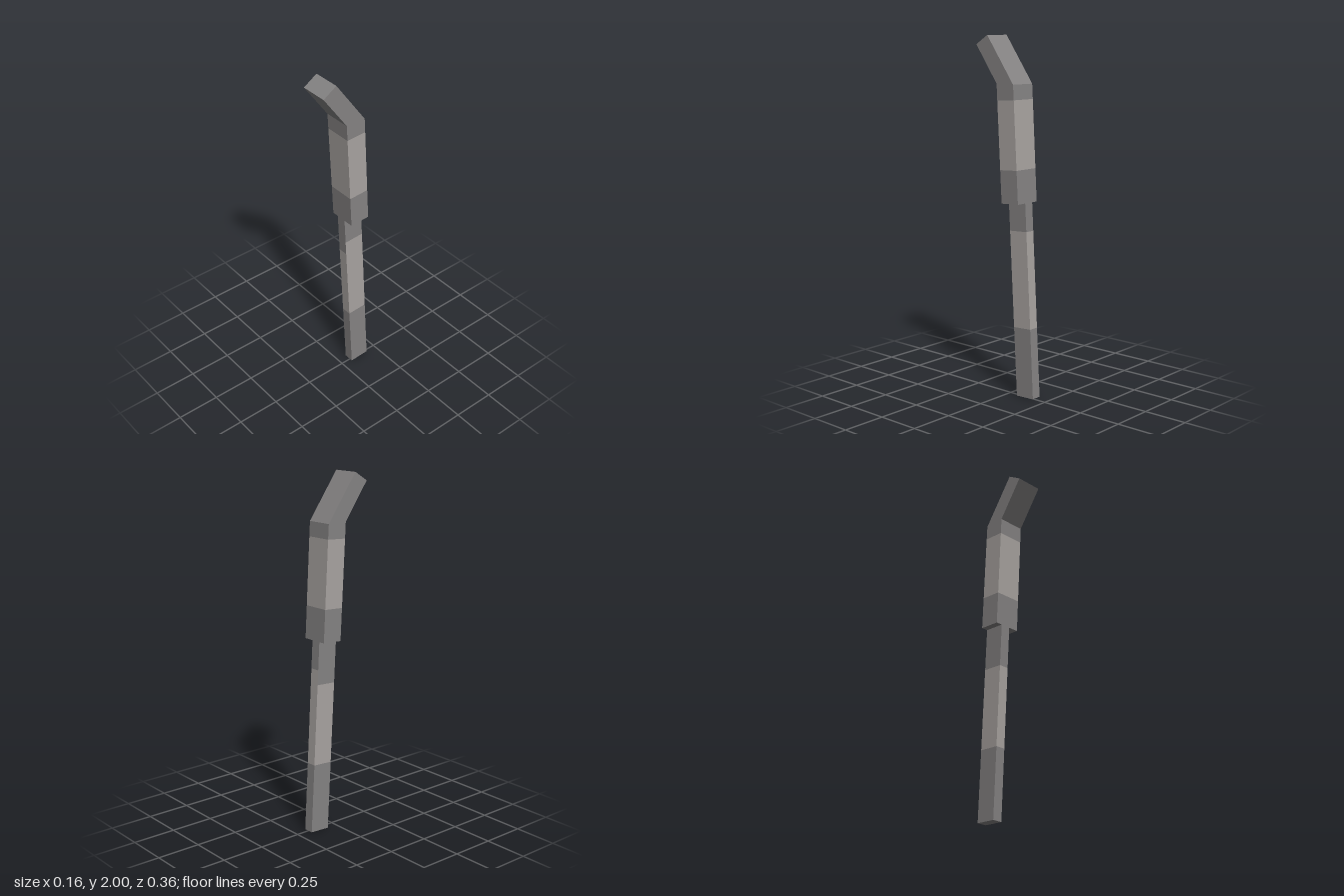
import * as THREE from 'three';

const darkSteel = new THREE.MeshStandardMaterial({ color: 0x858383 });
const lightSteel = new THREE.MeshStandardMaterial({ color: 0xa9a4a1 });
darkSteel.name = 'dark steel';
lightSteel.name = 'light steel';
const MATERIALS = [darkSteel, lightSteel];

// Cross-section of the leaning bar at height h: front and back edge as [z, y]
const LEAN = 0.0545;
const section = (h) => [[-0.062 + LEAN * h, h], [-0.18 + LEAN * h, h + 0.006]];

// Square bar through the sections, from x0 to x1.
// bands[i] gives the material index of the front, +x, back and -x face of span i.
function bar(name, x0, x1, sections, bands, capTop) {
  const rings = sections.map(([f, b]) => [
    [x0, f[1], f[0]], [x1, f[1], f[0]], [x1, b[1], b[0]], [x0, b[1], b[0]],
  ]);
  const positions = [];
  const geometry = new THREE.BufferGeometry();
  const quad = (a, b, c, d, material) => {
    geometry.addGroup(positions.length / 3, 6, material);
    positions.push(...a, ...b, ...c, ...a, ...c, ...d);
  };

  // End faces
  const [b0, b1, b2, b3] = rings[0];
  quad(b3, b2, b1, b0, 0);
  if (capTop) quad(...rings[rings.length - 1], 0);

  // Side faces, span by span
  bands.forEach((faces, i) => {
    const low = rings[i], high = rings[i + 1];
    faces.forEach((material, k) => {
      const n = (k + 1) % 4;
      quad(low[k], low[n], high[n], high[k], material);
    });
  });

  geometry.setAttribute('position', new THREE.Float32BufferAttribute(positions, 3));
  geometry.computeVertexNormals();
  const mesh = new THREE.Mesh(geometry, MATERIALS);
  mesh.name = name;
  return mesh;
}

export function createModel() {
  const model = new THREE.Group();
  model.name = 'bentBar';
  const dark = [0, 0, 0, 0];
  const light = [1, 1, 1, 1];

  // Thin lower shaft; its light band ends higher on the +x and back faces
  model.add(bar('lowerShaft', -0.04, 0.018,
    [0, 0.395, 0.855, 0.938, 1.095].map(section),
    [dark, light, [0, 1, 1, 0], dark], false));

  // Wide upper grip with the bent tip
  const bend = [[0.033, 1.743], [-0.085, 1.741]];
  const tip = [[0.18, 1.95], [0.10, 2.0]];
  model.add(bar('upperGrip', -0.078, 0.078,
    [...[1.095, 1.278, 1.653].map(section), bend, tip],
    [dark, light, dark, dark], true));

  return model;
}
